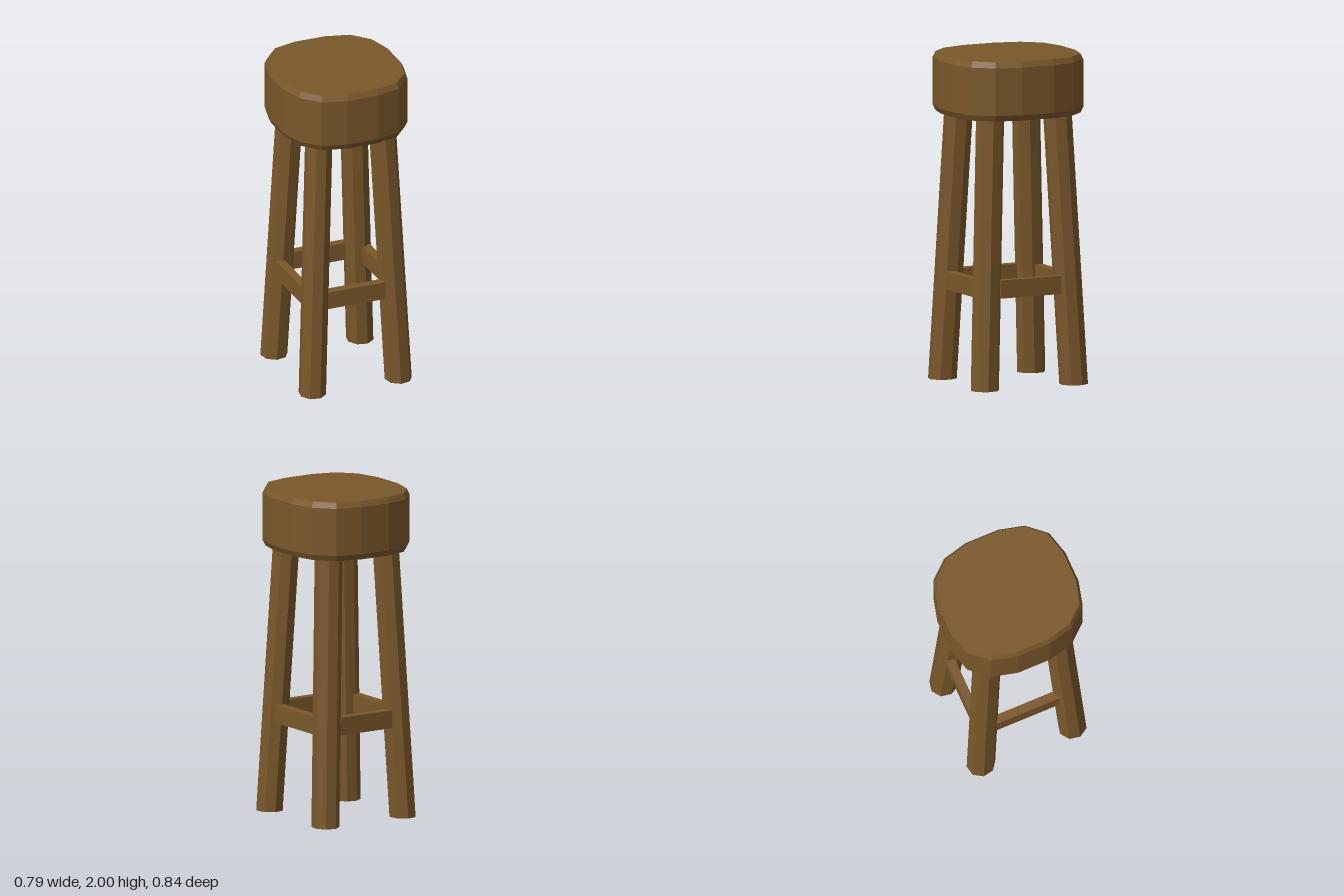
import * as THREE from 'three';

export function createModel() {
  const stool = new THREE.Group();
  stool.name = 'stool';
  const wood = new THREE.MeshStandardMaterial({ color: 0x7a582a, flatShading: true });

  const add = (name, geometry) => {
    const mesh = new THREE.Mesh(geometry, wood);
    mesh.name = name;
    stool.add(mesh);
    return mesh;
  };

  // Seat: sixteen-sided rounded block with chamfered rims
  const quarter = [[0.395, 0.107], [0.355, 0.265], [0.253, 0.38], [0.1, 0.42]];
  const back = [...quarter].reverse();
  const outline = [
    ...quarter,
    ...back.map(([x, z]) => [-x, z]),
    ...quarter.map(([x, z]) => [-x, -z]),
    ...back.map(([x, z]) => [x, -z]),
  ].map(([x, z]) => new THREE.Vector2(x, z));
  const rim = 0.035;
  const seat = new THREE.ExtrudeGeometry(new THREE.Shape(outline), {
    depth: 0.36 - 2 * rim,
    bevelThickness: rim,
    bevelSize: 0.017,
    bevelOffset: -0.017,
    bevelSegments: 1,
  });
  seat.rotateX(-Math.PI / 2).translate(0, 1.64 + rim, 0);
  add('seat', seat);

  // Legs: octagonal posts leaning inwards, with level feet
  const legHeight = 1.66;
  const lean = 0.044;
  for (const sx of [1, -1]) {
    for (const sz of [1, -1]) {
      const leg = new THREE.CylinderGeometry(1, 1, legHeight, 8);
      leg.rotateY(-sx * sz * Math.PI / 16);
      leg.scale(0.0825, 1, 0.0885);
      leg.translate(0, legHeight / 2, 0);
      leg.applyMatrix4(new THREE.Matrix4().set(
        1, -sx * lean, 0, sx * 0.28,
        0, 1, 0, 0,
        0, -sz * lean, 1, sz * 0.3,
        0, 0, 0, 1,
      ));
      add((sz > 0 ? 'front' : 'back') + (sx > 0 ? 'Left' : 'Right') + 'Leg', leg);
    }
  }

  // Rails: four flat bars joining neighbouring legs
  const railHeight = 0.11;
  const railY = 0.61;
  const railDepth = 0.055;
  for (const s of [1, -1]) {
    add(s > 0 ? 'frontRail' : 'backRail', new THREE.BoxGeometry(0.38, railHeight, railDepth))
      .position.set(0, railY, s * 0.3);
    add(s > 0 ? 'leftRail' : 'rightRail', new THREE.BoxGeometry(railDepth, railHeight, 0.41))
      .position.set(s * 0.28, railY, 0);
  }

  return stool;
}
